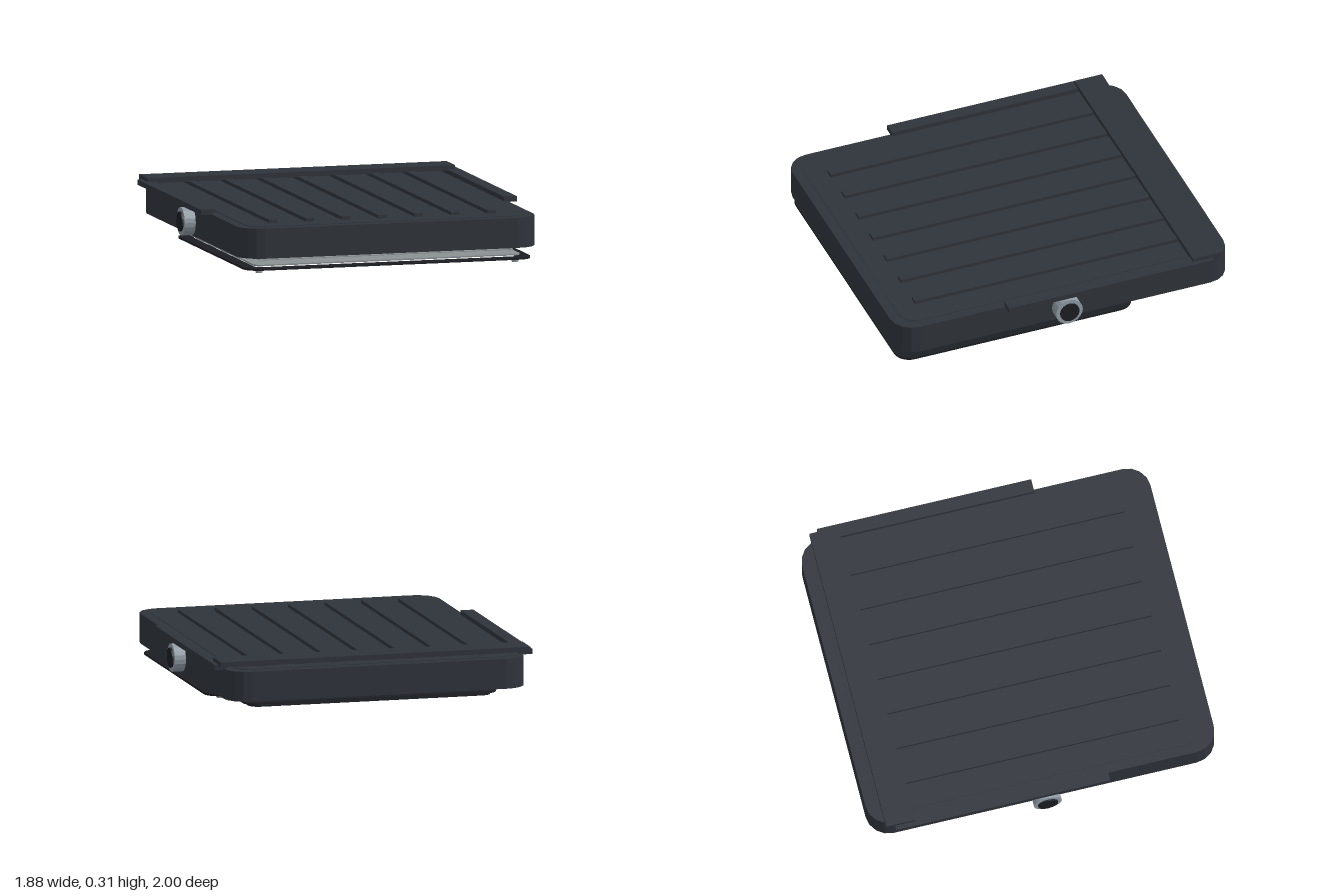
import * as THREE from 'three';

const mat = (color) => new THREE.MeshStandardMaterial({ color, flatShading: true });
const dark = mat(0x2f343b), black = mat(0x1b1e23), grey = mat(0x8b9194), steel = mat(0x8f9ba5), pad = mat(0x555a5e);

export function createModel() {
  const model = new THREE.Group();

  const add = (name, geometry, material, x = 0, y = 0, z = 0) => {
    const mesh = new THREE.Mesh(geometry, material);
    mesh.name = name;
    mesh.position.set(x, y, z);
    model.add(mesh);
    return mesh;
  };

  // Box given by its limits on each axis
  const block = (name, material, [x0, x1], [y0, y1], [z0, z1]) =>
    add(name, new THREE.BoxGeometry(x1 - x0, y1 - y0, z1 - z0), material,
      (x0 + x1) / 2, (y0 + y1) / 2, (z0 + z1) / 2);

  // Rounded rectangle outline; shape y is -z
  const outline = (Type, hx, z0, z1, r) => {
    const p = new Type();
    p.absarc(hx - r, -z0 - r, r, 0, Math.PI / 2);
    p.absarc(-hx + r, -z0 - r, r, Math.PI / 2, Math.PI);
    p.absarc(-hx + r, -z1 + r, r, Math.PI, Math.PI * 1.5);
    p.absarc(hx - r, -z1 + r, r, Math.PI * 1.5, Math.PI * 2);
    p.closePath();
    return p;
  };

  // Flat slab with rounded corners and an optional opening
  const slab = (name, material, hx, [y0, y1], [z0, z1], r, hole, segments = 2) => {
    const shape = outline(THREE.Shape, hx, z0, z1, r);
    if (hole) shape.holes.push(hole);
    const g = new THREE.ExtrudeGeometry(shape, { depth: y1 - y0, bevelEnabled: false, curveSegments: segments });
    g.rotateX(-Math.PI / 2);
    return add(name, g, material, 0, y0, 0);
  };

  // Main case with a slightly raised lid
  slab('caseBody', dark, 0.865, [0.09, 0.26], [-1, 1], 0.13);
  slab('lidPanel', dark, 0.81, [0.258, 0.263], [-0.94, 0.94], 0.1);

  // Ribs along the lid
  for (let i = -3; i <= 3; i++) {
    const x = i * 0.212;
    block('lidRib', dark, [x - 0.025, x + 0.025], [0.258, 0.282], [-0.86, 0.82]);
  }

  // Cross bar at the back
  block('rearBar', dark, [-0.895, 0.895], [0.277, 0.306], [-0.92, -0.755]);

  for (const s of [-1, 1]) {
    // Side rails
    add('sideRail', new THREE.BoxGeometry(0.075, 0.03, 1.23), dark, s * 0.8825, 0.27, -0.255);

    // Side knobs: light ring around a dark core
    const ring = add('knobRing', new THREE.CylinderGeometry(0.08, 0.08, 0.08, 20), steel, s * 0.889, 0.17, 0);
    ring.rotation.z = Math.PI / 2;
    const core = add('knobCore', new THREE.CylinderGeometry(0.057, 0.057, 0.08, 20), black, s * 0.898, 0.17, 0);
    core.rotation.z = Math.PI / 2;

    // Screws under the bottom frame
    for (const z of [0.905, -0.36]) {
      add('screw', new THREE.CylinderGeometry(0.02, 0.02, 0.014, 12), steel, s * 0.745, 0.007, z);
    }

    // Thin inner boards
    for (const y of [0.068, 0.08]) {
      add('innerBoard', new THREE.BoxGeometry(0.725, 0.004, 1.25), grey, s * 0.376, y, 0.275);
    }

    // Small spacers between the boards and the bottom panel
    for (const x of [0.155, 0.367, 0.58]) {
      for (const z of [0.63, 0.27, -0.09]) {
        add('spacer', new THREE.BoxGeometry(0.035, 0.006, 0.035), grey, s * x, 0.055, z);
      }
    }
  }

  // Bottom frame with the grey panel showing through it
  slab('bottomFrame', black, 0.835, [0.02, 0.031], [-0.435, 0.98], 0.09,
    outline(THREE.Path, 0.765, -0.375, 0.915, 0.04), 3);
  slab('bottomPanel', grey, 0.775, [0.038, 0.046], [-0.387, 0.93], 0.04, null, 3);

  // Rear cover in two thin layers, with a strip behind its end
  slab('rearCover', black, 0.73, [0.042, 0.05], [-0.855, -0.475], 0.07, null, 3);
  slab('rearCoverInset', black, 0.7, [0.027, 0.035], [-0.835, -0.5], 0.06, null, 3);
  block('rearStrip', pad, [-0.72, -0.62], [0.087, 0.095], [-0.93, -0.42]);

  return model;
}
